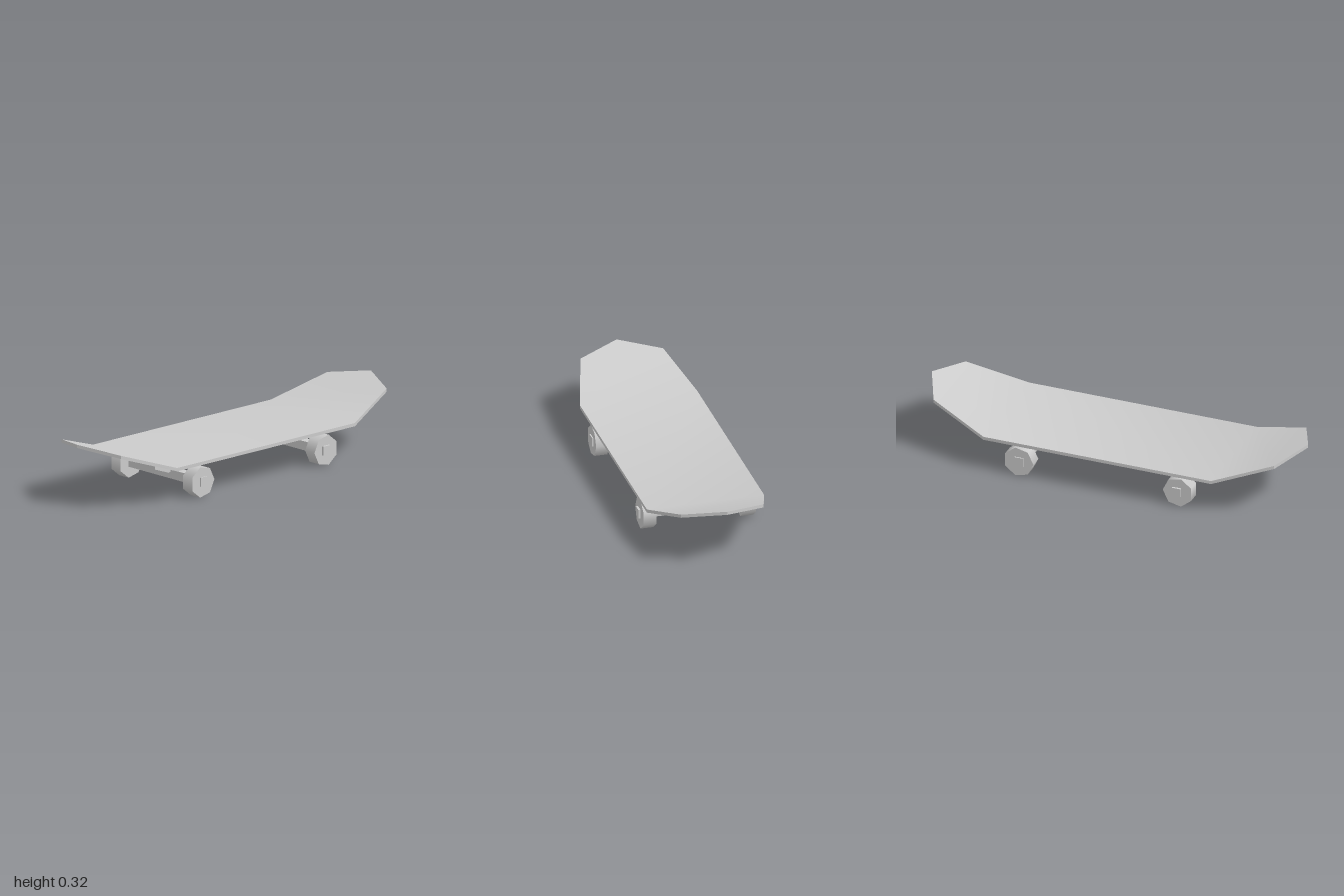
import * as THREE from 'three';
import { toCreasedNormals } from 'three/addons/utils/BufferGeometryUtils.js';

const material = new THREE.MeshStandardMaterial({ color: 0xcccccc });

function addMesh(parent, name, geometry) {
  const mesh = new THREE.Mesh(geometry, material);
  mesh.name = name;
  parent.add(mesh);
  return mesh;
}

// Deck: rectangular cross-sections along z, with kicked-up pointed ends
function deckGeometry() {
  const thickness = 0.017;
  const stations = [[-1, 0], [-0.905, 0.212], [-0.605, 0.3], [0.605, 0.3], [0.905, 0.212], [1, 0]];
  const positions = [];
  const index = [];
  stations.forEach(([z, w], i) => {
    const y = 0.168 + Math.max(0, Math.abs(z) - 0.605) * 0.34;
    positions.push(-w, y, z, w, y, z, w, y + thickness, z, -w, y + thickness, z);
    if (i === 0) return;
    for (let j = 0; j < 4; j++) {
      const c = i * 4 + (j + 1) % 4, d = i * 4 + j;
      index.push(d - 4, c - 4, c, d - 4, c, d);
    }
  });
  const geometry = new THREE.BufferGeometry();
  geometry.setAttribute('position', new THREE.Float32BufferAttribute(positions, 3));
  geometry.setIndex(index);
  return toCreasedNormals(geometry, 0.6);
}

// Baseplate block: pentagonal profile with a shallow ridge underneath
function baseplateGeometry() {
  const width = 0.158;
  const profile = new THREE.Shape([
    [-0.094, 0.169], [-0.094, 0.121], [0, 0.087], [0.094, 0.121], [0.094, 0.169],
  ].map(([x, y]) => new THREE.Vector2(x, y)));
  return new THREE.ExtrudeGeometry(profile, { depth: width, bevelEnabled: false })
    .translate(0, 0, -width / 2)
    .rotateY(Math.PI / 2);
}

// One truck: baseplate, square axle and two seven-sided wheels
function createTruck(name) {
  const truck = new THREE.Group();
  truck.name = name;
  addMesh(truck, 'baseplate', baseplateGeometry()).position.z = 0.45;
  addMesh(truck, 'axle', new THREE.BoxGeometry(0.594, 0.046, 0.046)).position.set(0, 0.08, 0.418);
  const wheel = new THREE.CylinderGeometry(0.079, 0.079, 0.066, 7, 1, false, Math.PI)
    .rotateZ(Math.PI / 2);
  for (const [side, x] of [['leftWheel', 0.258], ['rightWheel', -0.253]]) {
    addMesh(truck, side, wheel).position.set(x, 0.077, 0.422);
  }
  return truck;
}

export function createModel() {
  const board = new THREE.Group();
  board.name = 'skateboard';
  addMesh(board, 'deck', deckGeometry());
  const rear = createTruck('rearTruck');
  rear.rotation.y = Math.PI;
  board.add(createTruck('frontTruck'), rear);
  return board;
}
